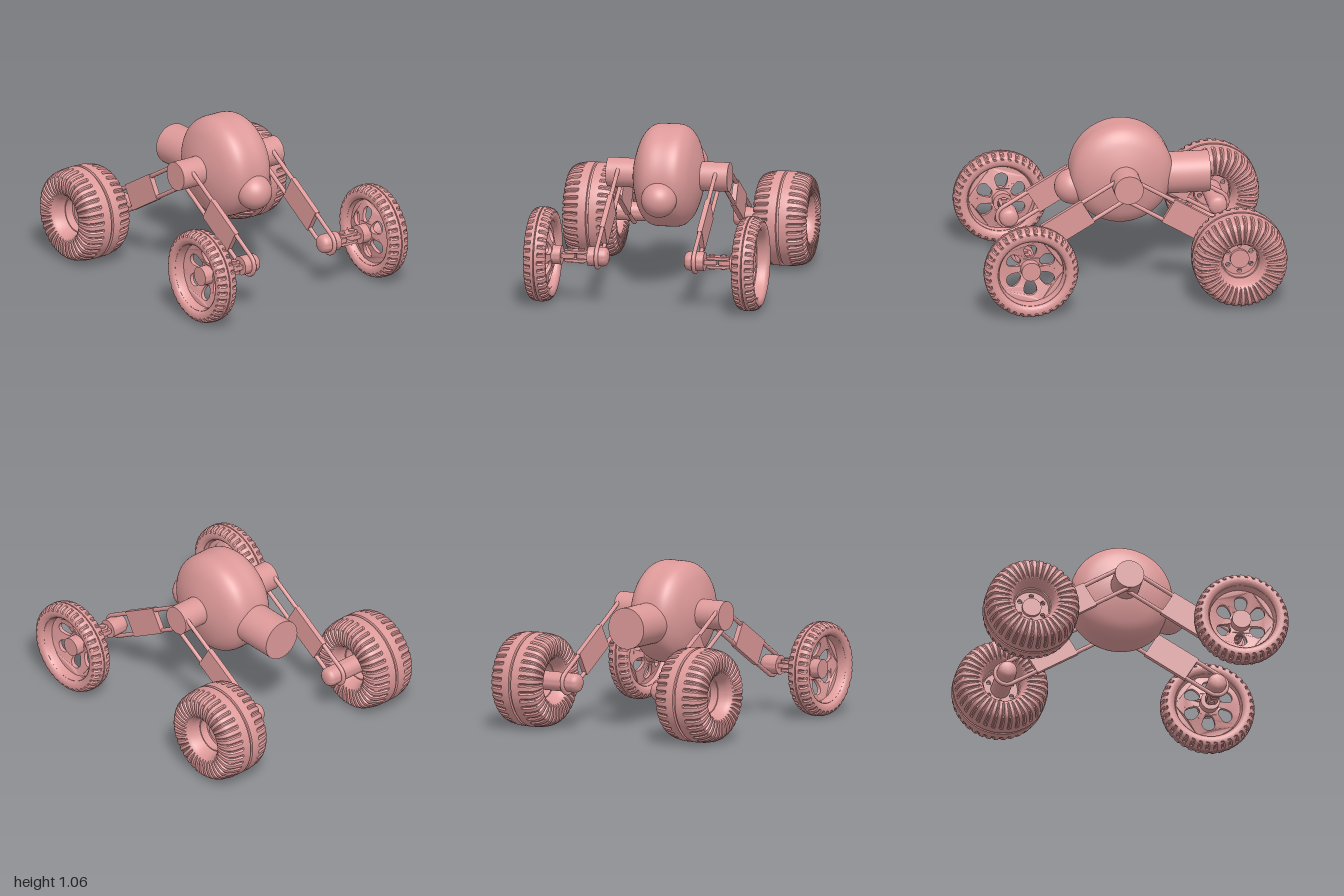
import * as THREE from 'three';
import { toCreasedNormals } from 'three/addons/utils/BufferGeometryUtils.js';

const material = new THREE.MeshStandardMaterial({ color: 0xdd9999, side: THREE.DoubleSide });
const AXLE_Y = 0.72, WHEEL_Y = 0.31, WHEEL_Z = 0.69;

function add(parent, name, geometry, x = 0, y = 0, z = 0) {
  const mesh = new THREE.Mesh(geometry, material);
  mesh.name = name;
  mesh.position.set(x, y, z);
  parent.add(mesh);
  return mesh;
}

// Solid of revolution about x from [axial, radius] points
function latheX(points, segments = 48, crease = 0.6) {
  const g = new THREE.LatheGeometry(points.map(([a, r]) => new THREE.Vector2(r, a)), segments);
  return toCreasedNormals(g.rotateZ(-Math.PI / 2), crease);
}
const rodX = (r, x0, x1) => latheX([[x0, 0], [x0, r], [x1, r], [x1, 0]], 40);

// Stub with a rounded inner end
const stubX = (r, x0, x1) => latheX([[x0, 0], [x0, r * 0.6], [x0 + 0.008, r * 0.82],
  [x0 + 0.02, r * 0.95], [x0 + 0.035, r], [x1, r], [x1, 0]], 40);

// Tyre: rounded section swept about x, with tread slots pressed into the surface
function tyre({ c, h, w, n, pitch, slotFrom, sideSlots }) {
  const half = [0.03, 0.05, slotFrom, slotFrom + 0.06, 0.68, 0.8, 0.9, 0.96, 0.99, 1];
  const ts = [...half.map(t => -t).reverse(), ...half];
  const section = [];
  const put = (t, sign) => section.push({ t, sign, a: w * t, r: c + sign * h * (1 - Math.abs(t) ** n) ** (1 / n) });
  ts.forEach(t => put(t, 1));
  ts.slice(0, -1).reverse().forEach(t => put(t, -1));
  const STEP = 6, g = new THREE.LatheGeometry(section.map(s => new THREE.Vector2(s.r, s.a)), pitch * STEP);
  const p = g.attributes.position;
  for (let k = 0; k < p.count; k++) {
    const s = section[k % section.length], i = Math.floor(k / section.length);
    const inSlot = (i + (s.t > 0 ? 3 : 0)) % STEP < 2;
    const at = Math.abs(s.t);
    let depth = 0;
    if (s.sign > 0 && at < 0.04) depth = 0.014;
    else if (s.sign > 0 && at > slotFrom + 0.01 && (at < 0.985 || sideSlots)) depth = inSlot ? 0.011 : 0;
    else if (s.sign < 0 && sideSlots && at > 0.92) depth = inSlot ? 0.009 : 0;
    if (!depth) continue;
    // press toward the core of the section
    const len = Math.hypot(s.a * h / w, s.r - c), f = 1 - depth / len;
    const r = c + (s.r - c) * f, a = at < 0.04 ? s.a : s.a * (1 - depth * (at > 0.9 ? 1 : 0.2) / w);
    p.setXYZ(k, p.getX(k) / s.r * r, a, p.getZ(k) / s.r * r);
  }
  return toCreasedNormals(g.rotateZ(-Math.PI / 2), 0.6);
}

// Wheel disc with six teardrop openings, dished inward
function rimDisc(radius, r0, r1, width, thickness, dish) {
  const shape = new THREE.Shape().absarc(0, 0, radius, 0, Math.PI * 2);
  for (let k = 0; k < 6; k++) {
    const a = Math.PI / 2 + k * Math.PI / 3;
    const pt = (r, o) => new THREE.Vector2(r * Math.cos(a) - o * Math.sin(a), r * Math.sin(a) + o * Math.cos(a));
    const m = r0 + (r1 - r0) * 0.7;
    const outline = new THREE.CatmullRomCurve3([pt(r0, width * 0.22), pt(r0, -width * 0.22), pt(m, -width / 2),
      pt(r1, -width * 0.25), pt(r1, width * 0.25), pt(m, width / 2)].map(v => new THREE.Vector3(v.x, v.y, 0)), true);
    shape.holes.push(new THREE.Path(outline.getPoints(24).slice(0, -1).map(v => new THREE.Vector2(v.x, v.y))));
  }
  const g = new THREE.ExtrudeGeometry(shape, { depth: thickness, bevelEnabled: false, curveSegments: 40 });
  const p = g.attributes.position;
  for (let i = 0; i < p.count; i++) {
    const r = Math.hypot(p.getX(i), p.getY(i));
    p.setZ(i, p.getZ(i) - thickness / 2 - dish * (1 - r / radius));
  }
  return toCreasedNormals(g.rotateY(Math.PI / 2), 0.6);
}

// Flat pill-shaped link lying in the xz plane
function pillPlate(x0, x1, r, thickness) {
  const s = new THREE.Shape();
  s.absarc(x1 - r, 0, r, -Math.PI / 2, Math.PI / 2);
  s.absarc(x0 + r, 0, r, Math.PI / 2, Math.PI * 1.5);
  s.closePath();
  return new THREE.ExtrudeGeometry(s, { depth: thickness, bevelEnabled: false })
    .translate(0, 0, -thickness / 2).rotateX(Math.PI / 2);
}

// Arm: a rod loop from axle to stub with a plate across the middle
function arm(name, x, front) {
  const group = new THREE.Group();
  group.name = name;
  const drop = AXLE_Y - WHEEL_Y, length = Math.hypot(drop, WHEEL_Z), angle = Math.atan2(drop, WHEEL_Z);
  const R = 0.072, pts = [];
  for (const [z, start] of [[length, 0], [0, Math.PI]]) {
    for (let i = 0; i <= 8; i++) {
      const a = start + i * Math.PI / 8;
      pts.push(new THREE.Vector3(0, R * Math.cos(a), z + R * Math.sin(a)));
    }
    for (const f of [0.05, 0.5, 0.95]) pts.push(new THREE.Vector3(0, start ? R : -R, start ? length * f : length * (1 - f)));
  }
  const loop = new THREE.CatmullRomCurve3(pts, true);
  add(group, 'armRods', new THREE.TubeGeometry(loop, 120, 0.014, 10, true));
  add(group, 'armPlate', new THREE.BoxGeometry(0.034, 0.176, 0.31), 0, 0, 0.458);
  group.position.set(x, AXLE_Y, 0);
  group.rotation.x = front ? angle : Math.PI - angle;
  return group;
}

function frontWheel() {
  const g = new THREE.Group();
  add(g, 'tyre', tyre({ c: 0.262, h: 0.048, w: 0.074, n: 2.5, pitch: 36, slotFrom: 0.3, sideSlots: false }));
  add(g, 'rimRing', latheX([[-0.05, 0.232], [0.05, 0.232], [0.055, 0.222], [0.03, 0.212], [-0.03, 0.212],
    [-0.055, 0.222], [-0.05, 0.232]], 64));
  add(g, 'rimDisc', rimDisc(0.222, 0.082, 0.17, 0.085, 0.025, 0.07), -0.015);
  add(g, 'hub', rodX(0.063, -0.128, 0.02));
  // steering joint between stub and hub
  add(g, 'stub', stubX(0.063, -0.438, -0.305));
  add(g, 'stubLug', pillPlate(-0.33, -0.225, 0.036, 0.03));
  add(g, 'hubLug', pillPlate(-0.215, -0.11, 0.036, 0.03));
  for (const y of [-0.029, 0.029]) add(g, 'linkPlate', pillPlate(-0.295, -0.143, 0.038, 0.018), 0, y);
  for (const x of [-0.258, -0.18]) add(g, 'linkBolt', new THREE.CylinderGeometry(0.02, 0.02, 0.096, 20), x);
  return g;
}

function rearWheel() {
  const g = new THREE.Group();
  add(g, 'tyre', tyre({ c: 0.215, h: 0.095, w: 0.178, n: 3, pitch: 36, slotFrom: 0.36, sideSlots: true }));
  add(g, 'rimRing', latheX([[-0.07, 0.132], [0.07, 0.132], [0.07, 0.115], [-0.07, 0.115], [-0.07, 0.132]], 48));
  add(g, 'rimDisc', rimDisc(0.122, 0.074, 0.1, 0.03, 0.03, 0));
  add(g, 'stub', stubX(0.063, -0.35, 0.04));
  return g;
}

export function createModel() {
  const model = new THREE.Group();
  model.name = 'buggy';

  // Rounded body, axle, nose and rear pipe
  const half = [[0.07, 0.335], [0.12, 0.316], [0.165, 0.265], [0.195, 0.195], [0.217, 0.12], [0.228, 0.06], [0.23, 0]];
  const outline = new THREE.SplineCurve([...half.map(([a, r]) => [-a, r]).reverse(), [0, 0.336], ...half]
    .map(([a, r]) => new THREE.Vector2(a, r)));
  add(model, 'body', latheX(outline.getPoints(56).map(v => [v.x, Math.max(0, v.y)]), 80, 1), 0, AXLE_Y);
  add(model, 'axle', rodX(0.096, -0.405, 0.405), 0, AXLE_Y + 0.003);
  add(model, 'nose', new THREE.SphereGeometry(0.116, 40, 28), 0, 0.622, 0.318);
  add(model, 'rearPipe', new THREE.CylinderGeometry(0.136, 0.136, 0.48, 48).rotateX(Math.PI / 2), 0, 0.68, -0.34);

  // Arms and wheels on both sides
  for (const s of [1, -1]) {
    const side = s > 0 ? 'Left' : 'Right';
    model.add(arm('frontArm' + side, s * 0.325, true), arm('rearArm' + side, s * 0.38, false));
    for (const [name, wheel, x, z] of [['frontWheel', frontWheel(), 0.693, WHEEL_Z], ['rearWheel', rearWheel(), 0.634, -WHEEL_Z]]) {
      wheel.name = name + side;
      wheel.position.set(s * x, WHEEL_Y, z);
      wheel.rotation.y = s > 0 ? 0 : Math.PI;
      model.add(wheel);
    }
  }
  return model;
}
